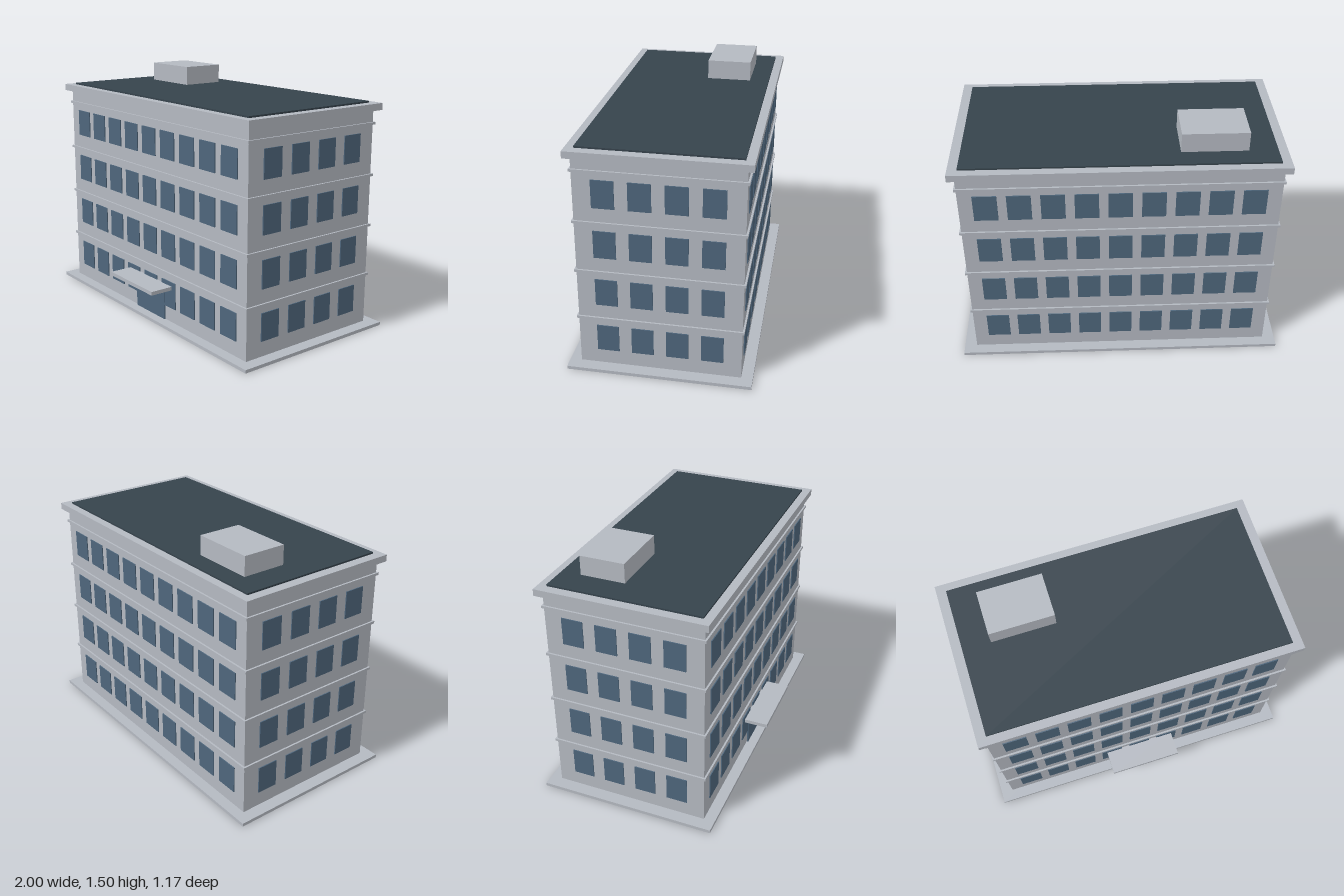
import * as THREE from 'three';

export function createModel() {
  const building = new THREE.Group();
  building.name = 'officeBuilding';

  const material = (name, color) => {
    const m = new THREE.MeshStandardMaterial({ color });
    m.name = name;
    return m;
  };
  const wall = material('concrete', 0xb4b9c1);
  const glass = material('glass', 0x4e667c);
  const roofing = material('roofing', 0x36434c);

  // Box given by its extents on each axis
  const box = (name, mat, [x0, x1], [y0, y1], [z0, z1], parent = building) => {
    const mesh = new THREE.Mesh(new THREE.BoxGeometry(x1 - x0, y1 - y0, z1 - z0), mat);
    mesh.position.set((x0 + x1) / 2, (y0 + y1) / 2, (z0 + z1) / 2);
    mesh.name = name;
    parent.add(mesh);
    return mesh;
  };

  // The block sits slightly back so the canopy fits in the depth
  const midZ = -0.0425, halfX = 0.924, halfZ = 0.475;
  const layer = (name, mat, hx, y0, y1, hz) =>
    box(name, mat, [-hx, hx], [y0, y1], [midZ - hz, midZ + hz]);

  layer('baseSlab', wall, 1, 0, 0.02, 0.5425);
  layer('body', wall, halfX, 0.02, 1.335, halfZ);
  layer('cornice', wall, 0.962, 1.335, 1.376, 0.509);
  layer('roofDeck', roofing, 0.904, 1.376, 1.386, 0.458);

  // Four storeys, each with a string course and windows on all sides
  const storey = 0.309, winW = 0.139, sideW = 0.129, winH = 0.168, proud = 0.006;
  for (let floor = 0; floor < 4; floor++) {
    const bandY = 0.322 + floor * storey;
    layer('stringCourse', wall, 0.935, bandY, bandY + 0.015, 0.486);

    const windows = new THREE.Group();
    windows.name = 'windowsFloor' + (floor + 1);
    building.add(windows);
    const y0 = 0.113 + floor * storey;
    const ys = [y0, y0 + winH];

    for (const side of [1, -1]) {
      const faceZ = midZ + side * halfZ;
      for (let i = -4; i <= 4; i++) {
        const x = i * 0.1925;
        box(side > 0 ? 'frontWindow' : 'backWindow', glass, [x - winW / 2, x + winW / 2], ys,
          side > 0 ? [faceZ, faceZ + proud] : [faceZ - proud, faceZ], windows);
      }
      for (let i = -1.5; i <= 1.5; i++) {
        const z = midZ + i * 0.2035;
        box(side > 0 ? 'leftWindow' : 'rightWindow', glass,
          side > 0 ? [halfX, halfX + proud] : [-halfX - proud, -halfX], ys,
          [z - sideW / 2, z + sideW / 2], windows);
      }
    }
  }

  // Entrance
  const frontZ = midZ + halfZ;
  box('entranceDoor', glass, [-0.153, 0.153], [0.02, 0.218], [frontZ, frontZ + 0.0095]);
  box('entranceCanopy', wall, [-0.228, 0.228], [0.232, 0.255], [frontZ, 0.585]);

  // Plant room on the roof
  box('roofPlantRoom', wall, [-0.735, -0.347], [1.38, 1.504], [-0.381, -0.11]);

  return building;
}
